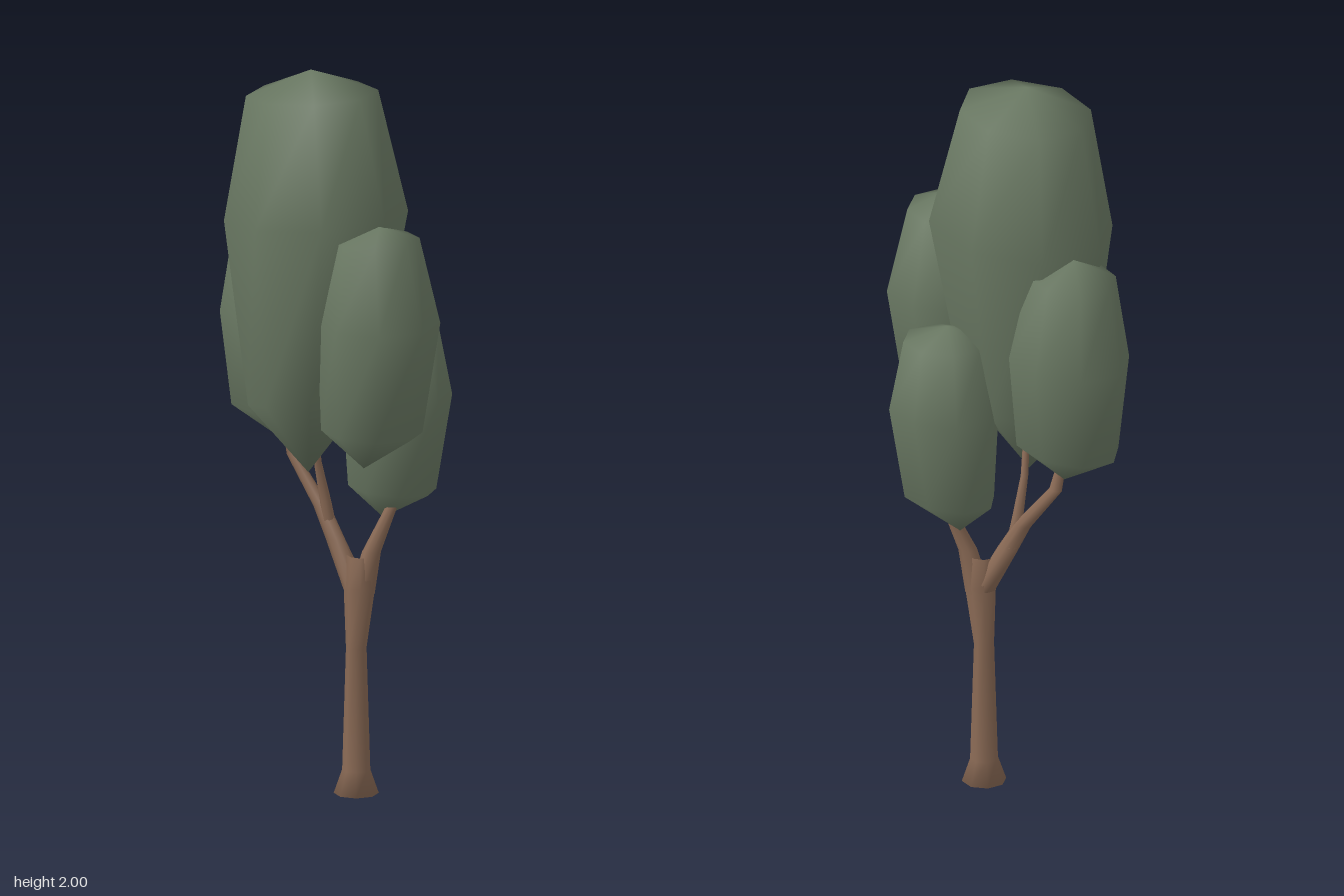
import * as THREE from 'three';
import { mergeVertices } from 'three/addons/utils/BufferGeometryUtils.js';

const SIDES = 8;

// Skins a stack of elliptical rings, bottom to top: [x, y, z, radiusX, radiusZ, tilt].
function loft(rings) {
  const positions = [];
  const index = [];
  rings.forEach(([x, y, z, rx, rz, tilt = 0], r) => {
    for (let i = 0; i < SIDES; i++) {
      const a = (i / SIDES) * Math.PI * 2;
      const dx = Math.cos(a) * rx;
      positions.push(x + dx, y + dx * tilt, z + Math.sin(a) * rz);
      if (r === 0) continue;
      const j = (i + 1) % SIDES;
      const low = (r - 1) * SIDES;
      const high = r * SIDES;
      if (rings[r - 1][3] > 0) index.push(low + i, high + i, low + j);
      if (rx > 0) index.push(low + j, high + i, high + j);
    }
  });
  let geometry = new THREE.BufferGeometry();
  geometry.setAttribute('position', new THREE.Float32BufferAttribute(positions, 3));
  geometry.setIndex(index);
  geometry = mergeVertices(geometry);
  geometry.computeVertexNormals();
  return geometry;
}

// Each foliage clump: bottom tip, lower ring, widest ring, upper ring, top tip.
const foliage = {
  mainCrown: [
    [-0.04, 0.89, 0.05, 0, 0], [-0.03, 1.1, 0.05, 0.165, 0.17, 0.2],
    [-0.015, 1.6, 0.046, 0.261, 0.229, 0.1], [-0.03, 1.935, 0.046, 0.182, 0.17, 0.08],
    [-0.03, 2.0, 0.05, 0, 0],
  ],
  leftClump: [
    [0.17, 0.94, 0.05, 0, 0], [0.205, 1.05, 0.055, 0.145, 0.125, 0],
    [0.222, 1.35, 0.046, 0.166, 0.162, 0], [0.22, 1.58, 0.055, 0.115, 0.118, 0.06],
    [0.24, 1.62, 0.06, 0, 0],
  ],
  rightClump: [
    [-0.21, 0.93, -0.03, 0, 0], [-0.22, 1.03, -0.03, 0.15, 0.12, 0.06],
    [-0.223, 1.29, -0.027, 0.166, 0.157, 0.06], [-0.235, 1.53, -0.03, 0.12, 0.115, 0.08],
    [-0.24, 1.58, -0.03, 0, 0],
  ],
  backClump: [
    [0.055, 0.75, -0.135, 0, 0], [0.09, 0.84, -0.135, 0.135, 0.1, 0],
    [0.105, 1.1, -0.138, 0.155, 0.139, 0], [0.105, 1.295, -0.135, 0.115, 0.108, 0],
    [0.1, 1.335, -0.13, 0, 0],
  ],
};

// Trunk and the boughs that run up into the clumps.
const wood = {
  trunk: [
    [0.03, 0, -0.06, 0, 0], [0.03, 0, -0.06, 0.06, 0.06], [0.03, 0.065, -0.06, 0.038, 0.037],
    [0.03, 0.4, -0.06, 0.026, 0.029], [0.042, 0.57, -0.06, 0.044, 0.04],
    [0.04, 0.655, -0.062, 0.038, 0.03],
  ],
  backBough: [
    [0.045, 0.55, -0.065, 0.036, 0.034], [0.073, 0.67, -0.075, 0.025, 0.025],
    [0.112, 0.8, -0.115, 0.015, 0.015], [0.125, 0.92, -0.13, 0.012, 0.012],
  ],
  rightBough: [
    [0.03, 0.56, -0.06, 0.034, 0.034], [-0.04, 0.69, -0.05, 0.031, 0.021],
    [-0.085, 0.77, -0.045, 0.026, 0.019], [-0.185, 0.895, -0.035, 0.02, 0.012],
    [-0.205, 0.99, -0.03, 0.012, 0.012],
  ],
  middleBough: [
    [-0.055, 0.7, -0.05, 0.02, 0.018], [-0.066, 0.79, -0.04, 0.015, 0.015],
    [-0.07, 0.9, -0.015, 0.01, 0.011], [-0.06, 1.02, 0.01, 0.008, 0.009],
  ],
};

export function createModel() {
  const tree = new THREE.Group();
  tree.name = 'tree';
  const leafMaterial = new THREE.MeshStandardMaterial({ color: 0x6b7a64 });
  const barkMaterial = new THREE.MeshStandardMaterial({ color: 0x8a6a55 });

  for (const [parts, material] of [[foliage, leafMaterial], [wood, barkMaterial]]) {
    for (const [name, rings] of Object.entries(parts)) {
      const mesh = new THREE.Mesh(loft(rings), material);
      mesh.name = name;
      tree.add(mesh);
    }
  }
  return tree;
}
